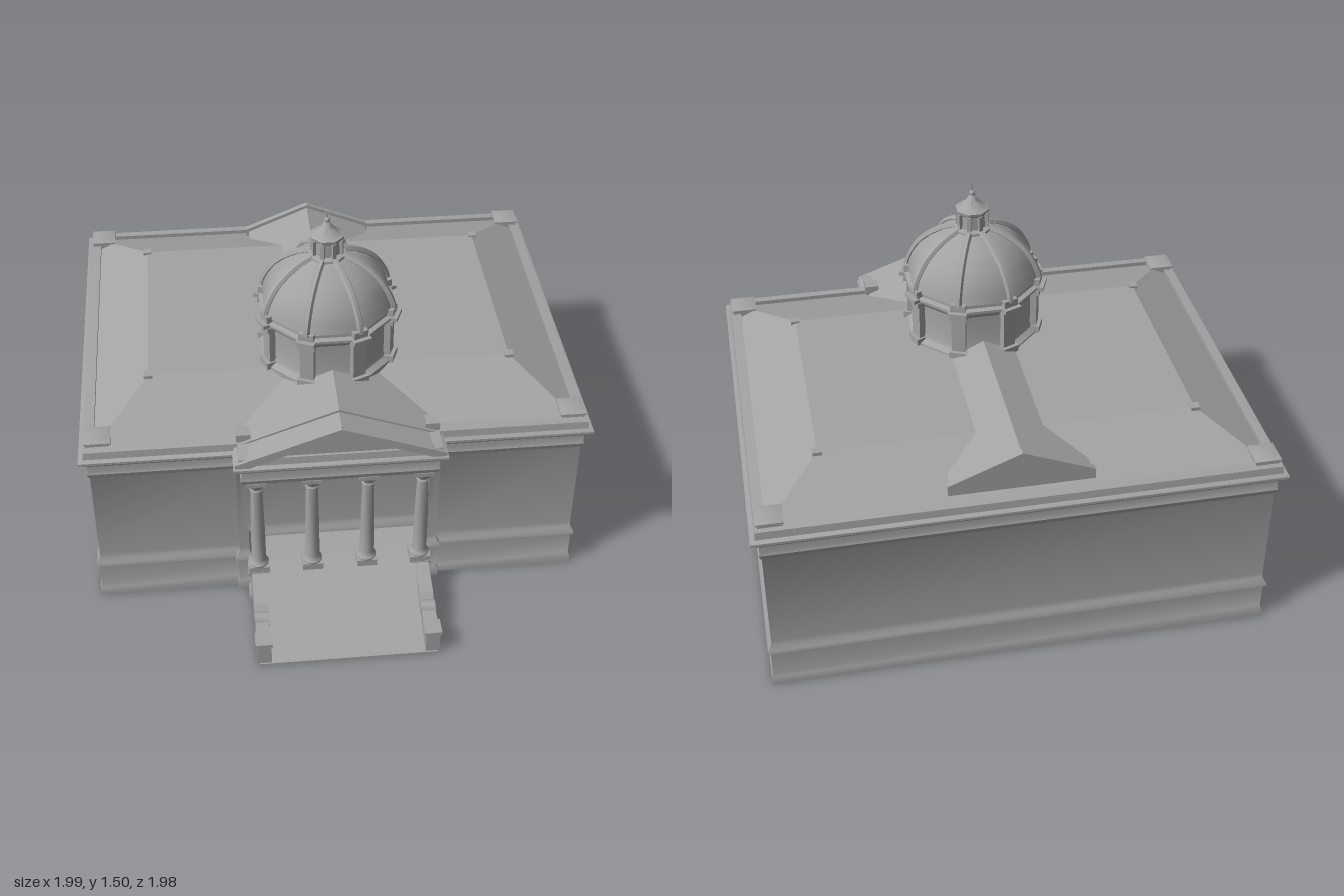
import * as THREE from 'three';
import { toCreasedNormals } from 'three/addons/utils/BufferGeometryUtils.js';

export function createModel() {
  const model = new THREE.Group();
  const stone = new THREE.MeshStandardMaterial({ color: 0xa3a3a3, side: THREE.DoubleSide });
  stone.name = 'grey stone';

  const add = (name, geo, x = 0, y = 0, z = 0, crease = 0.6) => {
    const mesh = new THREE.Mesh(toCreasedNormals(geo, crease), stone);
    mesh.name = name;
    mesh.position.set(x, y, z);
    model.add(mesh);
    return mesh;
  };
  const box = (name, w, h, d, x, y, z) => add(name, new THREE.BoxGeometry(w, h, d), x, y + h / 2, z);

  // Skin between closed rings of [x, y, z] corners
  const loft = (rings) => {
    const pos = [], n = rings[0].length;
    for (let k = 0; k < rings.length - 1; k++) {
      for (let i = 0; i < n; i++) {
        const j = (i + 1) % n;
        const a = rings[k][i], b = rings[k][j], c = rings[k + 1][j], d = rings[k + 1][i];
        pos.push(...a, ...b, ...c, ...a, ...c, ...d);
      }
    }
    const geo = new THREE.BufferGeometry();
    geo.setAttribute('position', new THREE.Float32BufferAttribute(pos, 3));
    return geo;
  };
  // Moulding profile of [offset, y] run around a plan of [x, z] with mitred corners
  const sweep = (plan, profile) => loft(profile.map(([o, y]) => plan.map((p, i) => {
    const n = plan.length;
    const normal = (a, b) => {
      const l = Math.hypot(b[0] - a[0], b[1] - a[1]);
      return [-(b[1] - a[1]) / l, (b[0] - a[0]) / l];
    };
    const m = normal(plan[(i + n - 1) % n], p), q = normal(p, plan[(i + 1) % n]);
    const s = o / (1 + m[0] * q[0] + m[1] * q[1]);
    return [p[0] + (m[0] + q[0]) * s, y, p[1] + (m[1] + q[1]) * s];
  })));
  const toShape = (pts) => new THREE.Shape(pts.map(([a, b]) => new THREE.Vector2(a, b)));
  const cap = (name, plan, y) => add(name, new THREE.ShapeGeometry(toShape(plan.map(([x, z]) => [x, -z]))).rotateX(-Math.PI / 2), 0, y, 0);
  const extrude = (pts, depth) => new THREE.ExtrudeGeometry(toShape(pts), { depth, bevelEnabled: false });
  const lathe = (pts, sides, start = 0) =>
    new THREE.LatheGeometry(pts.map(([r, y]) => new THREE.Vector2(r, y)), sides, start);
  const rect = (x, z0, z1) => [[-x, z0], [-x, z1], [x, z1], [x, z0]];
  const ring = (plan, y) => plan.map(([x, z]) => [x, y, z]);

  // Walls with a projecting front bay and a recessed porch
  const half = [[0.36, 0.42], [0.36, 0.55], [0.4, 0.55], [0.4, 0.53], [0.96, 0.53], [0.96, -0.96]];
  const wallPlan = [...half.map(([x, z]) => [-x, z]).reverse(), ...half];
  add('walls', sweep(wallPlan, [[0.012, 0], [0.012, 0.04], [0.006, 0.05], [0.006, 0.155], [0.016, 0.165],
    [0.014, 0.18], [0.002, 0.2], [0, 0.22], [0, 0.63], [0.006, 0.645]]));
  cap('underside', rect(0.97, -0.97, 0.54), 0);

  // Entablature and cornice around the building and over the porch
  const topHalf = [[0.375, 0.625], [0.375, 0.53], [0.96, 0.53], [0.96, -0.96]];
  const topPlan = [...topHalf.map(([x, z]) => [-x, z]).reverse(), ...topHalf];
  add('entablature', sweep(topPlan, [[0.004, 0.635], [0.01, 0.655], [0.006, 0.665], [0.006, 0.695], [0.016, 0.705],
    [0.02, 0.715], [0.036, 0.725], [0.036, 0.735], [0.018, 0.74], [0.014, 0.77], [-0.025, 0.775], [-0.025, 0.758]]));
  cap('porch ceiling', topPlan, 0.637);
  cap('roof deck', topPlan, 0.758);

  // Hipped roof with a flat top
  const roofTop = rect(0.72, -0.67, 0.2);
  add('hipped roof', loft([ring(rect(0.935, -0.935, 0.505), 0.758), ring(roofTop, 0.858)]), 0, 0, 0, 0.1);
  cap('roof top', roofTop, 0.858);
  for (const sx of [-1, 1]) {
    for (const z of [0.2, -0.67]) box('ridge knob', 0.035, 0.016, 0.035, sx * 0.72, 0.85, z);
    for (const z of [0.47, -0.91]) {
      box('corner block', 0.09, 0.035, 0.09, sx * 0.92, 0.755, z);
      add('corner block top', lathe([[0.072, 0], [0.072, 0.008], [0.045, 0.014], [0, 0.018]], 4, Math.PI / 4), sx * 0.92, 0.785, z);
    }
    box('bay block', 0.055, 0.05, 0.055, sx * 0.365, 0.755, 0.51);
  }

  // Cross gables to the front and the back
  add('front gable roof', extrude([[-0.38, 0.77], [0.38, 0.77], [0, 0.912]], 0.45), 0, 0, 0.1);
  add('back gable roof', extrude([[-0.265, 0.77], [0.265, 0.77], [0.265, 0.8], [0, 0.912], [-0.265, 0.8]], 0.92), 0, 0, -0.88);
  add('back gable wall', extrude([[-0.275, 0.76], [0.275, 0.76], [0.275, 0.812], [0, 0.926], [-0.275, 0.812]], 0.025), 0, 0, -0.905);

  // Pediment with raking cornices
  add('pediment', extrude([[-0.36, 0.74], [0.36, 0.74], [0, 0.875]], 0.08), 0, 0, 0.55);
  const rake = [[0.405, 0.738], [0.405, 0.754], [0, 0.902], [-0.405, 0.754], [-0.405, 0.738], [-0.35, 0.738], [0, 0.868], [0.35, 0.738]];
  add('raking cornice', extrude(rake, 0.105), 0, 0, 0.548);
  add('pediment peak', new THREE.ConeGeometry(0.012, 0.03, 6), 0, 0.9, 0.64);

  // Columns
  for (const x of [-0.325, -0.11, 0.11, 0.325]) {
    box('column plinth', 0.082, 0.03, 0.075, x, 0.155, 0.597);
    add('column shaft', lathe([[0.038, 0.18], [0.04, 0.192], [0.032, 0.203], [0.029, 0.215], [0.028, 0.35], [0.023, 0.58],
      [0.028, 0.585], [0.024, 0.592], [0.032, 0.612], [0.036, 0.622]], 16), x, 0, 0.597);
    box('column capital', 0.075, 0.018, 0.07, x, 0.618, 0.597);
  }

  // Front steps as a ramp running up to the porch floor
  const sideExtrude = (name, pts, width, x) =>
    add(name, extrude(pts, width).translate(0, 0, -width / 2).rotateY(-Math.PI / 2), x);
  sideExtrude('front steps', [[0.98, 0], [0.98, 0.008], [0.95, 0.012], [0.64, 0.155], [0.41, 0.155], [0.41, 0]], 0.7, 0);
  const cheek = [[0.975, 0], [0.975, 0.1], [0.84, 0.1], [0.8, 0.105], [0.775, 0.13], [0.64, 0.155], [0.54, 0.155], [0.54, 0]];
  for (const sx of [-1, 1]) {
    sideExtrude('step wall', cheek, 0.055, sx * 0.33);
    box('step end block', 0.068, 0.015, 0.07, sx * 0.33, 0.1, 0.945);
    add('step scroll', new THREE.CylinderGeometry(0.03, 0.03, 0.058, 12).rotateZ(Math.PI / 2), sx * 0.33, 0.09, 0.82);
    add('column pedestal', lathe([[0.056, 0], [0.056, 0.02], [0.044, 0.035], [0.04, 0.13], [0.056, 0.145], [0.056, 0.16], [0, 0.16]], 4, Math.PI / 4),
      sx * 0.33, 0, 0.597);
  }

  // Eight-sided drum and dome
  const cz = 0.07, turn = Math.PI / 8;
  add('drum', lathe([[0.285, 0.78], [0.285, 0.865], [0.262, 0.88], [0.255, 0.9], [0.255, 1.03], [0.268, 1.045], [0.27, 1.055],
    [0.288, 1.065], [0.288, 1.075], [0.268, 1.08], [0.268, 1.1]], 8, turn), 0, 0, cz);
  const domeProfile = [[0.272, 1.095], [0.264, 1.13], [0.245, 1.17], [0.215, 1.215], [0.17, 1.255], [0.12, 1.285], [0.065, 1.305]];
  add('dome', lathe(domeProfile, 8, turn), 0, 0, cz, 1.2);
  for (let i = 0; i < 8; i++) {
    const corner = new THREE.Group();
    corner.name = 'dome corner';
    corner.position.z = cz;
    corner.rotation.y = turn + i * Math.PI / 4;
    const path = new THREE.CatmullRomCurve3(domeProfile.map(([r, y]) => new THREE.Vector3(0, y, r)));
    corner.add(add('dome rib', new THREE.TubeGeometry(path, 14, 0.014, 6)));
    corner.add(box('drum pilaster', 0.055, 0.2, 0.035, 0, 0.86, 0.252));
    corner.add(box('pilaster base', 0.07, 0.03, 0.045, 0, 0.855, 0.262));
    corner.add(box('pilaster capital', 0.07, 0.02, 0.045, 0, 1.035, 0.258));
    corner.add(box('cornice break', 0.075, 0.016, 0.05, 0, 1.06, 0.272));
    corner.add(box('rib foot', 0.06, 0.03, 0.035, 0, 1.076, 0.262));
    corner.add(box('lantern rib', 0.016, 0.07, 0.016, 0, 1.305, 0.056));
    model.add(corner);
  }

  // Lantern with a pointed cap and finial
  add('lantern', lathe([[0.08, 1.29], [0.078, 1.31], [0.056, 1.315], [0.054, 1.37], [0.066, 1.38], [0.068, 1.392], [0.05, 1.4],
    [0.024, 1.425], [0.012, 1.445], [0.006, 1.45]], 8, turn), 0, 0, cz);
  add('finial ball', new THREE.SphereGeometry(0.012, 10, 8), 0, 1.455, cz);
  box('finial rod', 0.006, 0.04, 0.006, 0, 1.455, cz);
  box('finial bar', 0.02, 0.005, 0.005, 0, 1.478, cz);

  return model;
}
